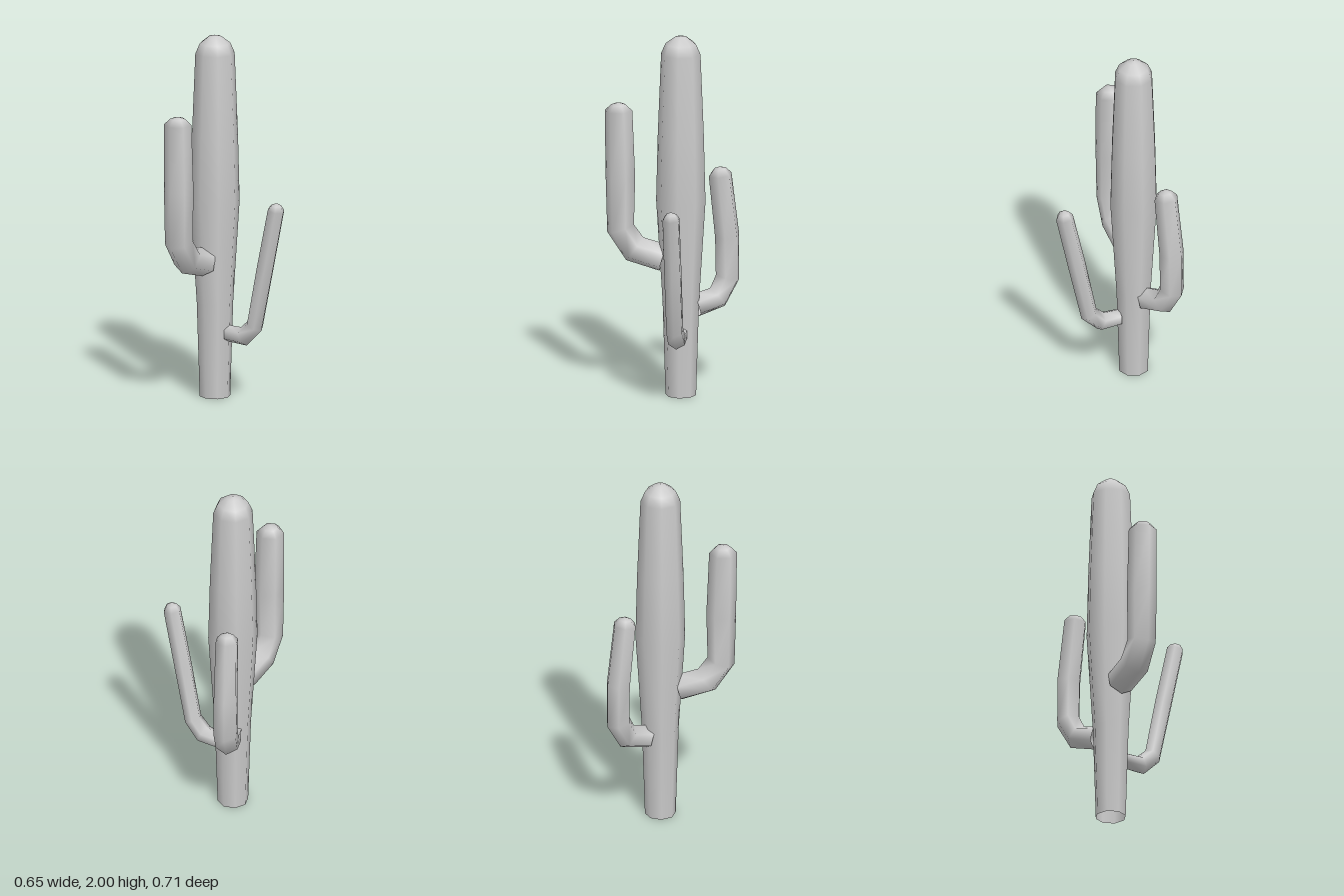
import * as THREE from 'three';
import { mergeVertices } from 'three/addons/utils/BufferGeometryUtils.js';

const material = new THREE.MeshStandardMaterial({ color: 0xcccccc, side: THREE.DoubleSide });
const SIDES = 6;

// Bent six-sided tube in the local xy plane; each station is [distance, height, radius].
function armGeometry(stations) {
  const positions = [], index = [];
  stations.forEach(([x, y, r], j) => {
    const here = new THREE.Vector2(x, y);
    const dir = (a, b) => new THREE.Vector2().subVectors(b, a).normalize();
    const tangent = new THREE.Vector2();
    if (j > 0) tangent.add(dir(new THREE.Vector2(...stations[j - 1]), here));
    if (j < stations.length - 1) tangent.add(dir(here, new THREE.Vector2(...stations[j + 1])));
    tangent.normalize();
    for (let i = 0; i < SIDES; i++) {
      const a = (i / SIDES) * Math.PI * 2;
      const u = r * Math.cos(a);
      positions.push(x + u * tangent.y, y - u * tangent.x, -r * Math.sin(a));
      if (j === stations.length - 1) continue;
      const p = j * SIDES + i, q = j * SIDES + (i + 1) % SIDES;
      index.push(p, q, q + SIDES);
      if (j < stations.length - 2) index.push(p, q + SIDES, p + SIDES);
    }
  });
  const geometry = new THREE.BufferGeometry();
  geometry.setAttribute('position', new THREE.Float32BufferAttribute(positions, 3));
  geometry.setIndex(index);
  const merged = mergeVertices(geometry);
  merged.computeVertexNormals();
  return merged;
}

// Arms grow outward from the trunk axis, then turn upward to a domed tip.
const arms = [
  { name: 'frontArm', turn: -Math.PI / 2, z: 0, stations: [
    [0.095, 0.76, 0.077], [0.25, 0.803, 0.08], [0.327, 0.915, 0.076], [0.328, 1.2, 0.08],
    [0.338, 1.57, 0.075], [0.338, 1.603, 0.042], [0.338, 1.615, 0]] },
  { name: 'leftArm', turn: 0, z: -0.005, stations: [
    [0.085, 0.358, 0.046], [0.19, 0.356, 0.052], [0.262, 0.425, 0.049], [0.33, 0.75, 0.05],
    [0.403, 1.085, 0.049], [0.406, 1.113, 0.03], [0.407, 1.127, 0]] },
  { name: 'backArm', turn: Math.atan2(0.88, -0.47), z: 0, stations: [
    [0.085, 0.49, 0.066], [0.21, 0.525, 0.068], [0.267, 0.63, 0.069], [0.265, 0.86, 0.069],
    [0.225, 1.205, 0.065], [0.222, 1.238, 0.036], [0.22, 1.25, 0]] },
];

export function createModel() {
  const cactus = new THREE.Group();
  cactus.name = 'cactus';
  cactus.position.set(-0.13, 0, -0.055);

  // Trunk: open at the base, widest halfway up, domed on top
  const profile = [[0.083, 0], [0.099, 0.52], [0.134, 1.08], [0.125, 1.45], [0.107, 1.9], [0.083, 1.955], [0.035, 1.992], [0, 2]]
    .map(([r, y]) => new THREE.Vector2(r, y));
  const trunk = new THREE.Mesh(new THREE.LatheGeometry(profile, 8), material);
  trunk.name = 'trunk';
  cactus.add(trunk);

  for (const { name, turn, z, stations } of arms) {
    const arm = new THREE.Mesh(armGeometry(stations), material);
    arm.name = name;
    arm.rotation.y = turn;
    arm.position.z = z;
    cactus.add(arm);
  }

  const model = new THREE.Group();
  model.add(cactus);
  return model;
}
